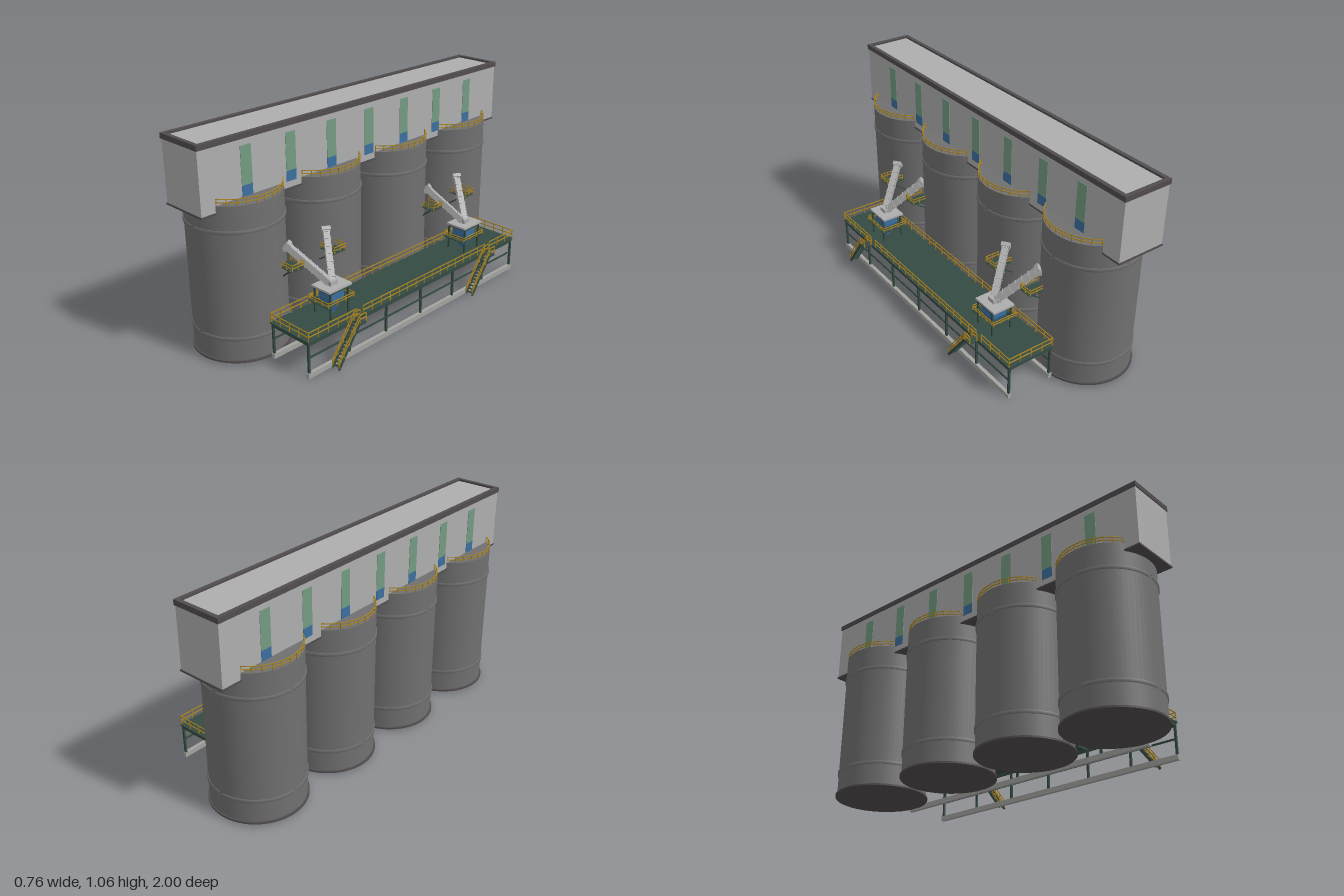
import * as THREE from 'three';
import { mergeGeometries } from 'three/addons/utils/BufferGeometryUtils.js';

const mat = (name, color, side = THREE.FrontSide) => {
  const m = new THREE.MeshStandardMaterial({ color, side });
  m.name = name;
  return m;
};
const V = (x, y, z) => new THREE.Vector3(x, y, z);

export function createModel() {
  const M = {
    silo: mat('silo grey', 0x707070, THREE.DoubleSide),
    wall: mat('wall light grey', 0xaeaeae),
    trim: mat('dark trim', 0x524c4f),
    steel: mat('dark green steel', 0x344a42),
    yellow: mat('railing yellow', 0xa98420),
    blue: mat('hopper blue', 0x3c6f9f, THREE.DoubleSide),
    glass: mat('window green', 0x739a80),
    concrete: mat('concrete', 0xa3a3a0),
  };
  const model = new THREE.Group();
  model.name = 'siloPlant';

  const add = (parent, name, geo, m) => {
    const mesh = new THREE.Mesh(geo, m);
    mesh.name = name;
    parent.add(mesh);
    return mesh;
  };
  // box given by its min and max on each axis
  const box = (x0, x1, y0, y1, z0, z1) =>
    new THREE.BoxGeometry(x1 - x0, y1 - y0, z1 - z0)
      .translate((x0 + x1) / 2, (y0 + y1) / 2, (z0 + z1) / 2);
  // square bar between two points; h is the depth across the width
  const bar = (a, b, w, h = w) => {
    const o = new THREE.Object3D();
    o.position.copy(a);
    o.lookAt(b);
    o.updateMatrix();
    const len = a.distanceTo(b);
    return new THREE.BoxGeometry(w, h, len).translate(0, 0, len / 2).applyMatrix4(o.matrix);
  };
  // railing along a path of points: posts plus two rails
  const railing = (pts, h = 0.045, step = 0.06, w = 0.004) => {
    const parts = [];
    for (let i = 0; i < pts.length - 1; i++) {
      const a = pts[i], b = pts[i + 1];
      const n = Math.max(1, Math.round(a.distanceTo(b) / step));
      for (const k of [0.5, 1]) {
        const up = V(0, h * k, 0);
        parts.push(bar(a.clone().add(up), b.clone().add(up), w));
      }
      for (let j = 0; j <= n; j++) {
        const p = a.clone().lerp(b, j / n);
        parts.push(box(p.x - w / 2, p.x + w / 2, p.y, p.y + h, p.z - w / 2, p.z + w / 2));
      }
    }
    return mergeGeometries(parts);
  };

  // --- four silos ---
  const R = 0.224, siloX = -0.15;
  [0.735, 0.253, -0.229, -0.711].forEach((z) => {
    const silo = new THREE.Group();
    silo.name = 'silo';
    silo.position.set(siloX, 0, z);
    add(silo, 'siloBody', new THREE.CylinderGeometry(R, R, 0.75, 64).translate(0, 0.395, 0), M.silo);
    add(silo, 'siloBase', new THREE.CylinderGeometry(R + 0.008, R + 0.008, 0.009, 64).translate(0, 0.0145, 0), M.trim);
    // clamp bands in four arcs with small gaps
    for (const y of [0.648, 0.13]) {
      const arcs = [0, 1, 2, 3].map((i) => new THREE.LatheGeometry(
        [[R, -0.008], [R + 0.005, -0.008], [R + 0.005, 0.008], [R, 0.008]].map((p) => new THREE.Vector2(...p)),
        16, i * Math.PI / 2 + 0.04, Math.PI / 2 - 0.08).translate(0, y, 0));
      add(silo, 'clampBand', mergeGeometries(arcs), M.silo);
    }
    const ring = [];
    for (let i = 0; i <= 32; i++) {
      const a = i / 32 * Math.PI * 2;
      ring.push(V(Math.cos(a) * (R - 0.003), 0.77, Math.sin(a) * (R - 0.003)));
    }
    add(silo, 'siloRailing', railing(ring, 0.03, 0.06, 0.0035), M.yellow);
    model.add(silo);
  });

  // --- conveyor gallery over the silos ---
  const gallery = new THREE.Group();
  gallery.name = 'gallery';
  const gx0 = -0.274, gx1 = -0.028;
  add(gallery, 'galleryWalls', box(gx0, gx1, 0.737, 1.045, -0.996, 0.996), M.wall);
  add(gallery, 'galleryFloorEdge', box(gx0 - 0.003, gx1 + 0.003, 0.731, 0.739, -1, 1), M.trim);
  for (const s of [-1, 1]) {
    const xc = (gx0 + gx1) / 2 + s * 0.118;
    add(gallery, 'parapetSide', box(xc - 0.01, xc + 0.01, 1.03, 1.055, -1, 1), M.trim);
    add(gallery, 'parapetEnd', box(gx0 - 0.004, gx1 + 0.004, 1.03, 1.055, s * 0.99 - 0.01, s * 0.99 + 0.01), M.trim);
    // window strips and blue panels on the long walls
    const xf = s > 0 ? gx1 : gx0;
    for (let i = -3; i <= 3; i++) {
      const z = i * 0.25;
      add(gallery, 'windowStrip', box(xf - 0.002, xf + 0.002, 0.82, 1.0, z - 0.029, z + 0.029), M.glass);
      add(gallery, 'bluePanel', box(xf - 0.002, xf + 0.002, 0.77, 0.82, z - 0.029, z + 0.029), M.blue);
    }
  }
  model.add(gallery);

  // --- loading platform ---
  const platform = new THREE.Group();
  platform.name = 'platform';
  const px0 = 0.077, px1 = 0.333, deckY = 0.185;
  add(platform, 'deck', box(px0, px1, 0.177, deckY, -0.75, 0.75), M.steel);
  const frame = [];
  for (const x of [0.089, 0.323]) {
    add(platform, 'kerb', box(x - 0.009, x + 0.009, 0, 0.025, -0.75, 0.75), M.concrete);
    frame.push(box(x - 0.004, x + 0.004, 0.16, 0.177, -0.745, 0.745));
    frame.push(box(x - 0.003, x + 0.003, 0.097, 0.105, -0.745, 0.745));
    for (let i = -3; i <= 3; i++) {
      const z = i * 0.247;
      frame.push(box(x - 0.005, x + 0.005, 0.025, 0.177, z - 0.005, z + 0.005));
    }
  }
  for (let i = -3; i <= 3; i++) frame.push(box(0.089, 0.323, 0.163, 0.177, i * 0.247 - 0.004, i * 0.247 + 0.004));
  add(platform, 'platformFrame', mergeGeometries(frame), M.steel);
  const rx0 = px0 + 0.004, rx1 = px1 - 0.003, rz = 0.746;
  add(platform, 'platformRailing', mergeGeometries([
    railing([V(rx1, deckY, 0.45), V(rx1, deckY, rz), V(rx0, deckY, rz), V(rx0, deckY, -rz), V(rx1, deckY, -rz), V(rx1, deckY, -0.54)]),
    railing([V(rx1, deckY, 0.41), V(rx1, deckY, -0.5)]),
  ]), M.yellow);
  model.add(platform);

  // --- stairs, rising toward -z along the outer edge ---
  for (const zb of [0.615, -0.345]) {
    const stair = new THREE.Group();
    stair.name = 'stair';
    const zt = zb - 0.135, steps = [], rails = [];
    for (const x of [0.34, 0.379]) {
      steps.push(bar(V(x, 0.003, zb), V(x, deckY, zt), 0.004, 0.012));
      steps.push(bar(V(x, 0.18, zt), V(x, 0.18, zt - 0.04), 0.004, 0.01));
      rails.push(railing([V(x, 0.005, zb), V(x, deckY, zt), V(x, deckY, zt - 0.04)], 0.042, 0.06));
    }
    for (let i = 1; i < 13; i++) {
      const t = i / 13, z = zb + (zt - zb) * t;
      steps.push(box(0.34, 0.379, deckY * t - 0.002, deckY * t + 0.002, z - 0.005, z + 0.005));
    }
    steps.push(box(0.333, 0.381, 0.18, deckY, zt - 0.04, zt));
    add(stair, 'stairSteps', mergeGeometries(steps), M.steel);
    add(stair, 'stairRailing', mergeGeometries(rails), M.yellow);
    model.add(stair);
  }

  // --- hopper towers with twin chutes ---
  for (const zc of [0.49, -0.474]) {
    const tower = new THREE.Group();
    tower.name = 'hopperTower';
    tower.position.set(0.207, 0, zc);
    add(tower, 'towerRoof', box(-0.059, 0.059, 0.318, 0.328, -0.075, 0.068), M.wall);
    const legs = [];
    for (const sx of [-1, 1]) for (const sz of [-1, 1]) {
      const x = sx * 0.052, z = sz * 0.055;
      legs.push(box(x - 0.004, x + 0.004, deckY, 0.318, z - 0.004, z + 0.004));
    }
    for (const s of [-1, 1]) for (const y of [0.255, 0.312]) {
      legs.push(box(-0.056, 0.056, y - 0.004, y + 0.004, s * 0.055 - 0.003, s * 0.055 + 0.003));
      legs.push(box(s * 0.052 - 0.003, s * 0.052 + 0.003, y - 0.004, y + 0.004, -0.058, 0.058));
    }
    // service walkway around the hopper
    for (const s of [-1, 1]) {
      legs.push(box(-0.068, 0.068, 0.25, 0.254, s * 0.068 - 0.014, s * 0.068 + 0.014));
    }
    add(tower, 'towerFrame', mergeGeometries(legs), M.steel);
    add(tower, 'towerRailing', railing([V(-0.066, 0.254, -0.08), V(0.066, 0.254, -0.08), V(0.066, 0.254, 0.08),
      V(-0.066, 0.254, 0.08), V(-0.066, 0.254, -0.08)], 0.025, 0.05, 0.0035), M.yellow);
    // square hopper: bin, taper, neck and flared spout
    const frustum = (rTop, rBot, y0, y1) => new THREE.CylinderGeometry(rTop * Math.SQRT2, rBot * Math.SQRT2, y1 - y0, 4)
      .rotateY(Math.PI / 4).translate(0, (y0 + y1) / 2, 0).toNonIndexed();
    const hopper = mergeGeometries([frustum(0.041, 0.041, 0.262, 0.3), frustum(0.041, 0.011, 0.19, 0.262),
      frustum(0.011, 0.011, 0.165, 0.19), frustum(0.012, 0.021, 0.152, 0.166), frustum(0.02, 0.02, 0.169, 0.174)]);
    hopper.computeVertexNormals();
    add(tower, 'hopper', hopper, M.blue);
    add(tower, 'hopperInlet', box(-0.02, 0.02, 0.3, 0.318, -0.02, 0.02), M.wall);
    model.add(tower);

    for (const s of [-1, 1]) {
      const chute = new THREE.Group();
      chute.name = 'chute';
      const a = V(0.045, 0.515, zc + s * 0.125), b = V(0.207, 0.335, zc + s * 0.006);
      add(chute, 'chuteDuct', bar(a, b, 0.03), M.wall);
      const flanges = [];
      for (let i = 0; i < 7; i++) {
        const t = 0.08 + i * 0.14;
        flanges.push(bar(a.clone().lerp(b, t), a.clone().lerp(b, t + 0.015), 0.036));
      }
      flanges.push(bar(a, a.clone().lerp(b, 0.07), 0.042));
      add(chute, 'chuteFlanges', mergeGeometries(flanges), M.wall);
      // small inspection balcony below the chute, braced to the silo
      const z0 = zc + s * 0.095, z1 = zc + s * 0.165, y = 0.42;
      const zl = Math.min(z0, z1), zh = Math.max(z0, z1);
      add(chute, 'balcony', mergeGeometries([
        box(0.03, 0.135, y - 0.004, y, zl, zh),
        bar(V(0.12, y, z0), V(0.025, 0.355, zc + s * 0.1), 0.006),
        bar(V(0.12, y, z1), V(0.05, 0.365, zc + s * 0.15), 0.006),
      ]), M.steel);
      add(chute, 'balconyRailing', railing([V(0.04, y, z0), V(0.134, y, z0), V(0.134, y, z1), V(0.06, y, z1)],
        0.03, 0.04, 0.0035), M.yellow);
      model.add(chute);
    }
    add(model, 'chuteJunction', box(0.186, 0.228, 0.326, 0.35, zc - 0.022, zc + 0.022), M.wall);
  }
  return model;
}
